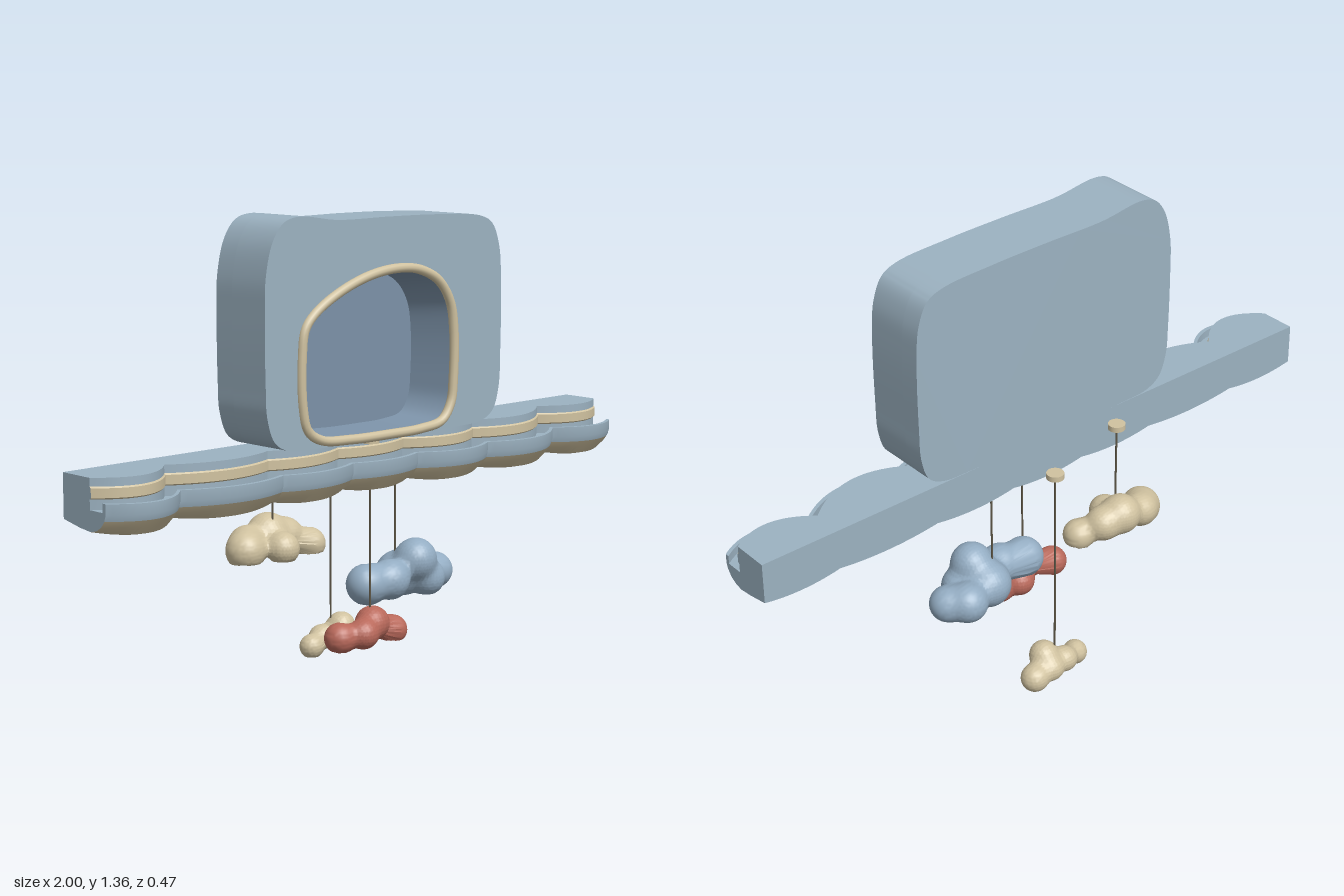
import * as THREE from 'three';
import { mergeVertices, toCreasedNormals } from 'three/addons/utils/BufferGeometryUtils.js';

const mat = (color) => new THREE.MeshStandardMaterial({ color, side: THREE.DoubleSide });
const BLUE = mat(0x9cb2c1), CREAM = mat(0xd0c2a0), RED = mat(0xb9695b);
const NICHE = mat(0x7c92a8), SKY = mat(0x94adc3), CORD = mat(0x5f5848);

export function createModel() {
  const root = new THREE.Group();
  const add = (parent, name, geometry, material) => {
    const mesh = new THREE.Mesh(geometry, material);
    mesh.name = name;
    parent.add(mesh);
    return mesh;
  };
  const group = (name) => {
    const g = new THREE.Group();
    g.name = name;
    root.add(g);
    return g;
  };

  // Grid surface through rows of [x, y, z] points
  const loft = (rows) => {
    const n = rows[0].length, index = [];
    for (let i = 0; i < rows.length - 1; i++)
      for (let j = 0; j < n - 1; j++) {
        const a = i * n + j, b = a + n;
        index.push(a, b, a + 1, b, b + 1, a + 1);
      }
    const g = new THREE.BufferGeometry();
    g.setAttribute('position', new THREE.Float32BufferAttribute(rows.flat(2), 3));
    g.setIndex(index);
    g.computeVertexNormals();
    return g;
  };
  const closedCurve = (pts, z) =>
    new THREE.CatmullRomCurve3(pts.map(([x, y]) => new THREE.Vector3(x, y, z)), true, 'centripetal');

  // ---- Soft rounded housing with a recessed niche ----
  const housing = group('housing');
  const outline = closedCurve([
    [-0.467, 0.9], [-0.462, 0.82], [-0.435, 0.75], [-0.385, 0.722], [-0.29, 0.716], [0, 0.715], [0.29, 0.716],
    [0.385, 0.722], [0.435, 0.75], [0.46, 0.82], [0.465, 0.92], [0.465, 1.14], [0.455, 1.24], [0.425, 1.305],
    [0.375, 1.329], [0.2, 1.341], [0, 1.344], [-0.2, 1.344], [-0.345, 1.36], [-0.4, 1.345], [-0.44, 1.295],
    [-0.465, 1.2], [-0.469, 1.1]], 0).getPoints(140).slice(0, -1);
  const rim = closedCurve([
    [-0.336, 0.98], [-0.334, 0.84], [-0.315, 0.77], [-0.265, 0.738], [-0.15, 0.727], [0, 0.725], [0.13, 0.727],
    [0.215, 0.742], [0.252, 0.79], [0.262, 0.86], [0.263, 1.0], [0.247, 1.085], [0.2, 1.15], [0.12, 1.188],
    [0.03, 1.197], [-0.08, 1.183], [-0.2, 1.142], [-0.29, 1.09], [-0.325, 1.05]], 0.192);
  const opening = rim.getPoints(100);
  const inner = opening.map((p) => [-0.037 + (p.x + 0.037) * 0.86, 0.955 + (p.y - 0.955) * 0.93, 0.056]);
  const shapeOf = (pts) => new THREE.Shape(pts.map((p) => new THREE.Vector2(p.x, p.y)));

  const slab = (name, shape, z, depth) => {
    const g = new THREE.ExtrudeGeometry(shape, { depth, bevelEnabled: false });
    g.translate(0, 0, z);
    add(housing, name, toCreasedNormals(g, 0.6), BLUE);
  };
  const frame = shapeOf(outline);
  frame.holes.push(new THREE.Path(opening.slice(0, -1).map((p) => new THREE.Vector2(p.x, p.y))));
  slab('housingFront', frame, 0.055, 0.135);
  slab('housingBack', shapeOf(outline), -0.01, 0.065);
  add(housing, 'nicheWall', loft([opening.map((p) => [p.x, p.y, 0.19]), inner]), NICHE);
  add(housing, 'nicheBack', new THREE.ShapeGeometry(
    new THREE.Shape(inner.slice(0, -1).map(([x, y]) => new THREE.Vector2(x, y)))), NICHE).position.z = 0.0565;
  add(housing, 'nicheTrim', new THREE.TubeGeometry(rim, 140, 0.014, 10, true), CREAM);

  // ---- Scalloped shelf: one lofted section per scallop ----
  const shelf = group('scallopedShelf');
  const cusps = [-1, -0.74, -0.4, -0.13, 0.13, 0.41, 0.75, 1];
  const cuspZ = [0.17, 0.155, 0.185, 0.18, 0.18, 0.195, 0.152, 0.17];
  const bulge = [0.07, 0.045, 0.035, 0.03, 0.05, 0.065, 0.05];
  // Named strips of the profile as [z, y] points; L is the lip's front edge, s the sag
  const strips = (L, s) => {
    const C = L - 0.066, low = 0.572 - 0.012 * s;
    return [
      ['back', BLUE, [[-0.01, low + 0.018], [-0.01, 0.715]]],
      ['top', BLUE, [[-0.01, 0.715], [C, 0.715]]],
      ['corniceTop', BLUE, [[C, 0.715], [C, 0.692]]],
      ['corniceBand', CREAM, [[C, 0.692], [C + 0.005, 0.688], [C + 0.005, 0.662], [C, 0.658]]],
      ['corniceBase', BLUE, [[C, 0.658], [C, 0.63]]],
      ['gutterFloor', BLUE, [[C, 0.63], [L - 0.013, 0.63]]],
      ['lipInside', BLUE, [[L - 0.013, 0.63], [L - 0.013, 0.655]]],
      ['lipTop', BLUE, [[L - 0.013, 0.655], [L, 0.655]]],
      ['lipFront', BLUE, [[L, 0.655], [L, 0.625], [L - 0.006, 0.608]]],
      ['underside', CREAM, [[L - 0.006, 0.608], [L - 0.02, 0.59], [L - 0.04, low + 0.006], [L - 0.065, low],
        [0.06, low + 0.005], [-0.01, low + 0.018]]],
    ];
  };
  const STEPS = 20;
  bulge.forEach((b, k) => {
    const xs = [], sections = [];
    for (let i = 0; i <= STEPS; i++) {
      const t = i / STEPS, s = 4 * t * (1 - t);
      xs.push(THREE.MathUtils.lerp(cusps[k], cusps[k + 1], t));
      sections.push(strips(THREE.MathUtils.lerp(cuspZ[k], cuspZ[k + 1], t) + b * s, s));
    }
    sections[0].forEach(([name, material], j) => {
      const rows = sections.map((sec, i) => sec[j][2].map(([z, y]) => [xs[i], y, z]));
      add(shelf, name, toCreasedNormals(loft(rows), 0.6), material);
    });
  });
  for (const side of [-1, 1]) {
    const pts = strips(0.17, 0).flatMap((s) => s[2].slice(0, -1)).map(([z, y]) => new THREE.Vector2(z, y));
    const cap = new THREE.ShapeGeometry(new THREE.Shape(pts));
    cap.rotateY(-Math.PI / 2);
    add(shelf, 'shelfEnd', cap, BLUE).position.x = side;
  }

  // ---- Hanging clouds: blended spheres cut flat at the base ----
  const cloudGeometry = (base, balls) => {
    const c = new THREE.Vector3();
    balls.forEach(([x, y, z]) => c.add(new THREE.Vector3(x, y, z)));
    c.divideScalar(balls.length);
    const k = 110;
    const field = (p) => -Math.log(balls.reduce((sum, [x, y, z, r]) =>
      sum + Math.exp(-k * (Math.hypot(p.x - x, p.y - y, p.z - z) - r)), 0)) / k;
    let g = new THREE.IcosahedronGeometry(1, 22);
    g.deleteAttribute('uv');
    g.deleteAttribute('normal');
    g = mergeVertices(g);
    const pos = g.attributes.position, d = new THREE.Vector3(), p = new THREE.Vector3();
    for (let i = 0; i < pos.count; i++) {
      d.fromBufferAttribute(pos, i).normalize();
      let t = 0.35;
      for (let n = 0; n < 60; n++) {
        const f = field(p.copy(c).addScaledVector(d, t));
        if (Math.abs(f) < 1e-4) break;
        t = Math.max(t - f * 0.8, 0.01);
      }
      if (d.y < 0) t = Math.min(t, (base - c.y) / d.y);
      p.copy(c).addScaledVector(d, t);
      pos.setXYZ(i, p.x, p.y, p.z);
    }
    return toCreasedNormals(g, 0.8);
  };
  const hangCloud = (name, material, base, x, z, balls) => {
    const g = group(name);
    add(g, 'cloudBody', cloudGeometry(base, balls), material);
    const bottom = base + 0.06, length = 0.705 - bottom;
    add(g, 'cord', new THREE.CylinderGeometry(0.003, 0.003, length, 8), CORD).position.set(x, bottom + length / 2, z);
    add(g, 'cordDisc', new THREE.CylinderGeometry(0.026, 0.026, 0.017, 24), CREAM).position.set(x, 0.705, z);
  };

  hangCloud('largeCreamCloud', CREAM, 0.35, -0.2, -0.085, [
    [-0.3, 0.385, -0.09, 0.058], [-0.27, 0.4, -0.12, 0.05], [-0.19, 0.418, -0.12, 0.06], [-0.2, 0.385, -0.04, 0.048],
    [-0.13, 0.405, -0.11, 0.052], [-0.065, 0.375, -0.075, 0.048]]);
  hangCloud('blueCloud', SKY, 0.2, 0.175, 0.04, [
    [0.03, 0.26, 0.07, 0.062], [0.11, 0.265, 0.085, 0.06], [0.215, 0.312, 0.088, 0.063], [0.2, 0.26, 0.03, 0.07],
    [0.3, 0.255, 0.0, 0.06], [0.345, 0.25, 0.04, 0.055], [0.26, 0.25, 0.09, 0.055]]);
  hangCloud('redCloud', RED, 0.1, -0.025, 0.14, [
    [-0.135, 0.138, 0.13, 0.046], [-0.07, 0.145, 0.16, 0.044], [-0.015, 0.165, 0.14, 0.05],
    [0.02, 0.15, 0.1, 0.045], [0.078, 0.128, 0.13, 0.043]]);
  hangCloud('smallCreamCloud', CREAM, 0, 0.11, -0.17, [
    [0.022, 0.03, -0.16, 0.037], [0.08, 0.045, -0.18, 0.038], [0.14, 0.075, -0.155, 0.043],
    [0.14, 0.045, -0.19, 0.037], [0.2, 0.035, -0.185, 0.042]]);

  return root;
}
